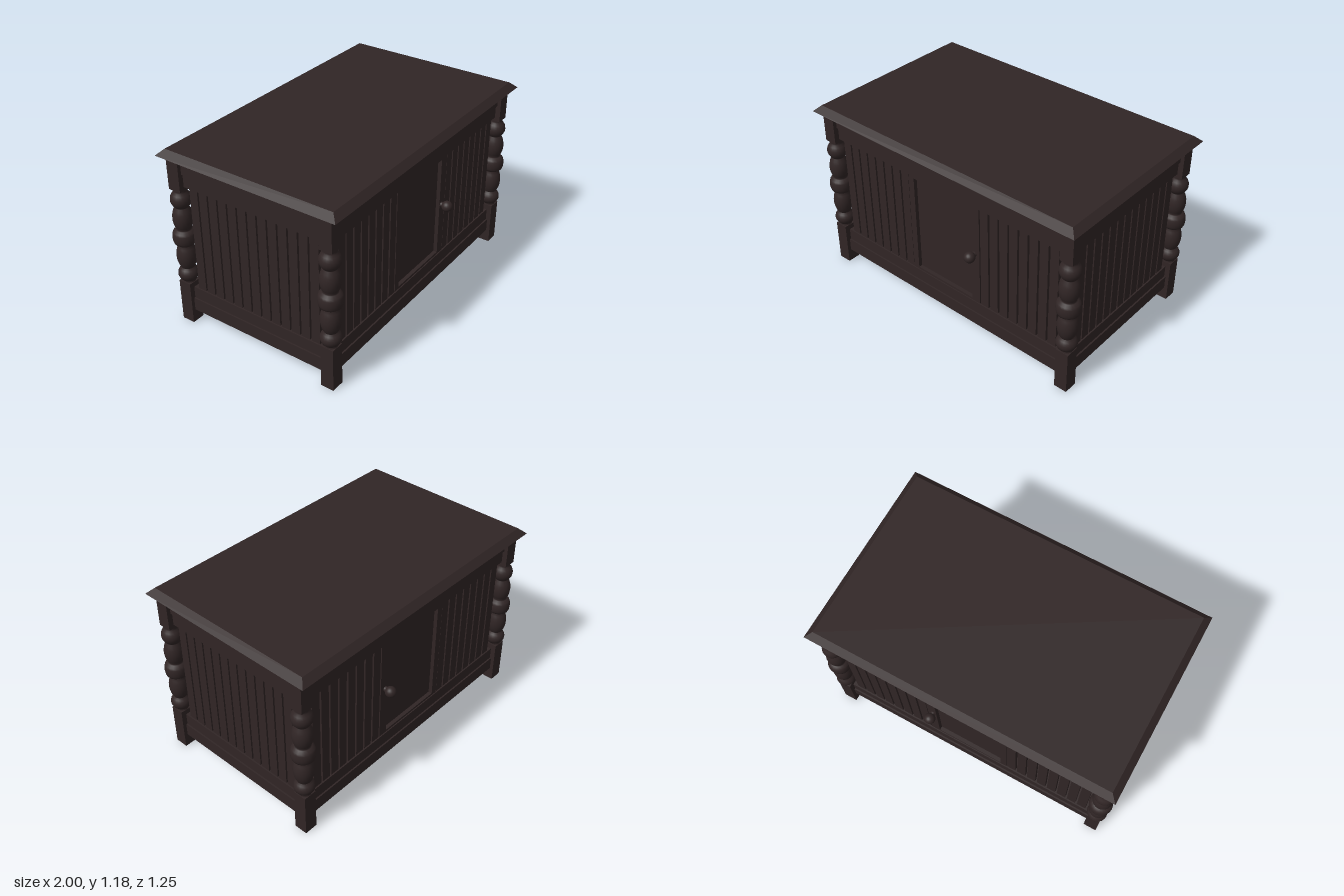
import * as THREE from 'three';

const wood = new THREE.MeshStandardMaterial({ color: 0x302525 });
wood.name = 'dark stained wood';

const PX = 0.9225, PZ = 0.531; // post centres

function add(parent, name, geometry, x = 0, y = 0, z = 0) {
  const mesh = new THREE.Mesh(geometry, wood);
  mesh.name = name;
  mesh.position.set(x, y, z);
  parent.add(mesh);
  return mesh;
}

function box(parent, name, w, y0, y1, d, x = 0, z = 0) {
  return add(parent, name, new THREE.BoxGeometry(w, y1 - y0, d), x, (y0 + y1) / 2, z);
}

// Table top: a slab with a short undercut and a long bevel above it
function topGeometry() {
  const g = new THREE.BoxGeometry(2, 0.05, 1.245, 1, 2, 1);
  const p = g.attributes.position;
  for (let i = 0; i < p.count; i++) {
    const level = Math.round(p.getY(i) / 0.025); // -1 bottom, 0 middle, 1 top
    const inset = [0.014, 0, 0.042][level + 1];
    p.setX(i, p.getX(i) - Math.sign(p.getX(i)) * inset);
    p.setZ(i, p.getZ(i) - Math.sign(p.getZ(i)) * inset);
    p.setY(i, [-0.025, -0.014, 0.025][level + 1]);
  }
  const flat = g.toNonIndexed();
  flat.computeVertexNormals();
  return flat;
}

// Turned part of a post: beads, ovals and a central ring
function turningGeometry() {
  const pts = [[0.27, 0.042], [0.293, 0.04]];
  const bulge = (y0, y1, neck, r, power) => {
    for (let i = 0; i <= 8; i++) {
      const t = i / 8;
      pts.push([y0 + (y1 - y0) * t, neck + (r - neck) * Math.pow(Math.sin(Math.PI * t), power)]);
    }
  };
  bulge(0.295, 0.385, 0.04, 0.064, 0.8);
  bulge(0.388, 0.546, 0.042, 0.062, 0.8);
  bulge(0.548, 0.652, 0.05, 0.073, 0.4);
  bulge(0.654, 0.804, 0.042, 0.062, 0.8);
  bulge(0.807, 0.905, 0.042, 0.064, 0.8);
  pts.push([0.915, 0.04], [0.94, 0.042]);
  return new THREE.LatheGeometry(pts.map(([y, r]) => new THREE.Vector2(r, y)), 20);
}

// One wall's stepped rails, in its own frame with +z facing outward
function rails(wall, length) {
  box(wall, 'upperRail', length, 1.035, 1.132, 0.05, 0, 0.005);
  box(wall, 'upperRailLip', length, 0.95, 1.035, 0.04);
  box(wall, 'lowerRailLip', length, 0.172, 0.25, 0.04);
  box(wall, 'lowerRail', length, 0.085, 0.172, 0.05, 0, 0.005);
}

function slat(wall, x) {
  box(wall, 'slat', 0.059, 0.24, 0.96, 0.022, x);
}

// Door: stiles, rails, recessed panel and a round knob
function door(wall, knobSide) {
  box(wall, 'doorHingeStile', 0.042, 0.25, 0.95, 0.026, -knobSide * 0.257);
  box(wall, 'doorKnobStile', 0.06, 0.25, 0.95, 0.026, knobSide * 0.246);
  box(wall, 'doorTopRail', 0.47, 0.932, 0.952, 0.026);
  box(wall, 'doorBottomRail', 0.47, 0.248, 0.264, 0.026);
  box(wall, 'doorPanel', 0.48, 0.25, 0.95, 0.012, 0, -0.018);
  const stem = add(wall, 'knobStem', new THREE.CylinderGeometry(0.014, 0.018, 0.03, 16), knobSide * 0.237, 0.61, 0.024);
  stem.rotation.x = Math.PI / 2;
  add(wall, 'knob', new THREE.SphereGeometry(0.035, 20, 14), knobSide * 0.237, 0.61, 0.055);
}

export function createModel() {
  const model = new THREE.Group();
  model.name = 'slattedCabinet';

  add(model, 'tableTop', topGeometry(), 0, 1.155, 0);
  box(model, 'floor', 1.83, 0.12, 0.15, 1.05);

  // Corner posts with square ends
  const turning = turningGeometry();
  for (const sx of [-1, 1]) for (const sz of [-1, 1]) {
    const post = new THREE.Group();
    post.name = 'cornerPost';
    post.position.set(sx * PX, 0, sz * PZ);
    box(post, 'postFoot', 0.086, 0, 0.285, 0.086);
    add(post, 'postTurning', turning);
    box(post, 'postHead', 0.086, 0.925, 1.135, 0.086);
    model.add(post);
  }

  // Front and back walls, each with a door between two runs of slats
  for (const s of [1, -1]) {
    const wall = new THREE.Group();
    wall.name = s > 0 ? 'frontWall' : 'backWall';
    wall.position.z = s * 0.52;
    wall.rotation.y = s > 0 ? 0 : Math.PI;
    rails(wall, 1.765);
    for (let i = 0; i < 8; i++) {
      slat(wall, 0.312 + i * 0.072);
      slat(wall, -0.312 - i * 0.072);
    }
    door(wall, s);
    model.add(wall);
  }

  // Side walls, slatted all along
  for (const s of [1, -1]) {
    const wall = new THREE.Group();
    wall.name = s > 0 ? 'leftWall' : 'rightWall';
    wall.position.x = s * 0.912;
    wall.rotation.y = s * Math.PI / 2;
    rails(wall, 0.98);
    for (let i = -6; i <= 6; i++) slat(wall, i * 0.071);
    model.add(wall);
  }
  return model;
}
